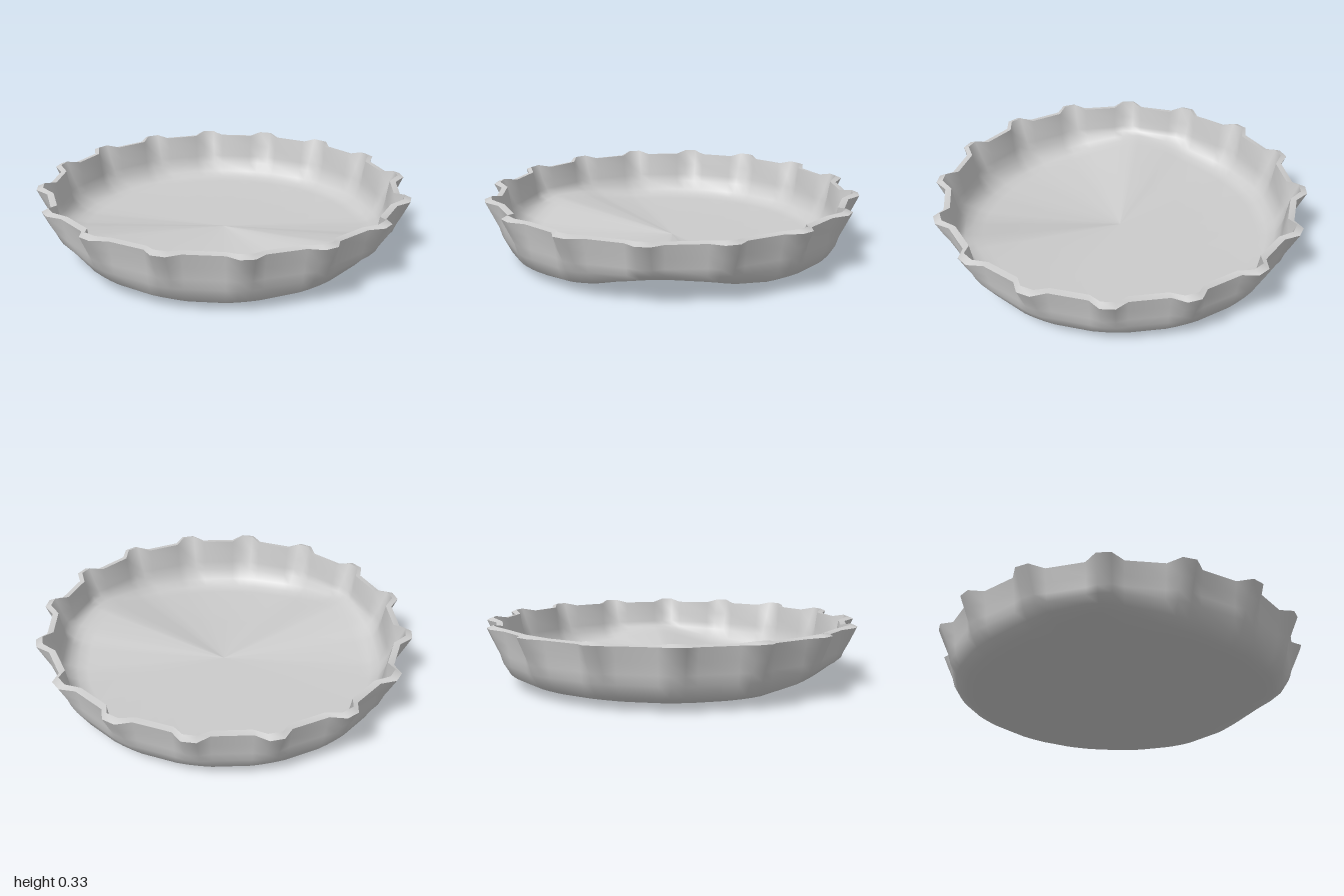
import * as THREE from 'three';

const DEG = Math.PI / 180;
const FLUTES = 16;

// Four columns per flute: two on the valley, two on the crest
const columns = [];
for (let k = 0; k < FLUTES; k++) {
  const mid = (k + 0.5) * 360 / FLUTES;
  for (const [offset, crest] of [[-5.4, 0], [-2, 1], [2, 1], [5.4, 0]]) {
    columns.push({ angle: (mid + offset) * DEG, crest });
  }
}

// Bent base: two raised dents either side of a slightly sunken corner
function dent(angle) {
  const bell = (centre, width) => {
    const d = Math.atan2(Math.sin(angle - centre * DEG), Math.cos(angle - centre * DEG)) / DEG;
    return Math.exp(-((d / width) ** 2));
  };
  return 0.08 * (bell(107, 21) + bell(-17, 21)) - 0.022 * bell(45, 30);
}

// Profile rows: [valley radius, crest radius, valley y, crest y, dent weight]
function shell(name, rows, material) {
  const positions = [], index = [], n = columns.length;
  for (const [r0, r1, y0, y1, weight] of rows) {
    for (const { angle, crest } of columns) {
      const r = r0 + (r1 - r0) * crest;
      const y = y0 + (y1 - y0) * crest + weight * dent(angle);
      positions.push(r * Math.cos(angle), y, r * Math.sin(angle));
    }
  }
  for (let j = 0; j < rows.length - 1; j++) {
    for (let i = 0; i < n; i++) {
      const a = j * n + i, b = j * n + (i + 1) % n;
      index.push(a, a + n, b + n, a, b + n, b);
    }
  }
  const geometry = new THREE.BufferGeometry();
  geometry.setAttribute('position', new THREE.Float32BufferAttribute(positions, 3));
  geometry.setIndex(index);
  geometry.computeVertexNormals();
  const mesh = new THREE.Mesh(geometry, material);
  mesh.name = name;
  return mesh;
}

export function createModel() {
  const group = new THREE.Group();
  group.name = 'crimpedCap';
  const material = new THREE.MeshStandardMaterial({ color: 0xcccccc, side: THREE.DoubleSide });

  const outerRim = [0.955, 1.013, 0.31, 0.317, 0];
  const innerRim = [0.922, 0.978, 0.315, 0.33, 0];

  // Underside and fluted outer wall, from the centre out to the rim
  group.add(shell('outerShell', [
    [0, 0, 0.02, 0.02, 0],
    [0.4, 0.4, 0.02, 0.02, 0.5],
    [0.78, 0.78, 0.02, 0.02, 1],
    [0.84, 0.84, 0.036, 0.036, 0.95],
    [0.895, 0.895, 0.065, 0.065, 0.75],
    [0.925, 0.935, 0.13, 0.13, 0.3],
    [0.932, 0.95, 0.18, 0.18, 0.1],
    [0.94, 0.978, 0.24, 0.24, 0],
    outerRim,
  ], material));

  // Narrow lip joining the two walls
  group.add(shell('rimLip', [outerRim, innerRim], material));

  // Inner wall and floor, from the rim back to the centre
  group.add(shell('innerShell', [
    innerRim,
    [0.91, 0.945, 0.24, 0.24, 0],
    [0.903, 0.918, 0.18, 0.18, 0.1],
    [0.893, 0.903, 0.135, 0.135, 0.3],
    [0.865, 0.865, 0.085, 0.085, 0.75],
    [0.82, 0.82, 0.062, 0.062, 0.95],
    [0.765, 0.765, 0.05, 0.05, 1],
    [0.4, 0.4, 0.05, 0.05, 0.5],
    [0, 0, 0.05, 0.05, 0],
  ], material));

  return group;
}
